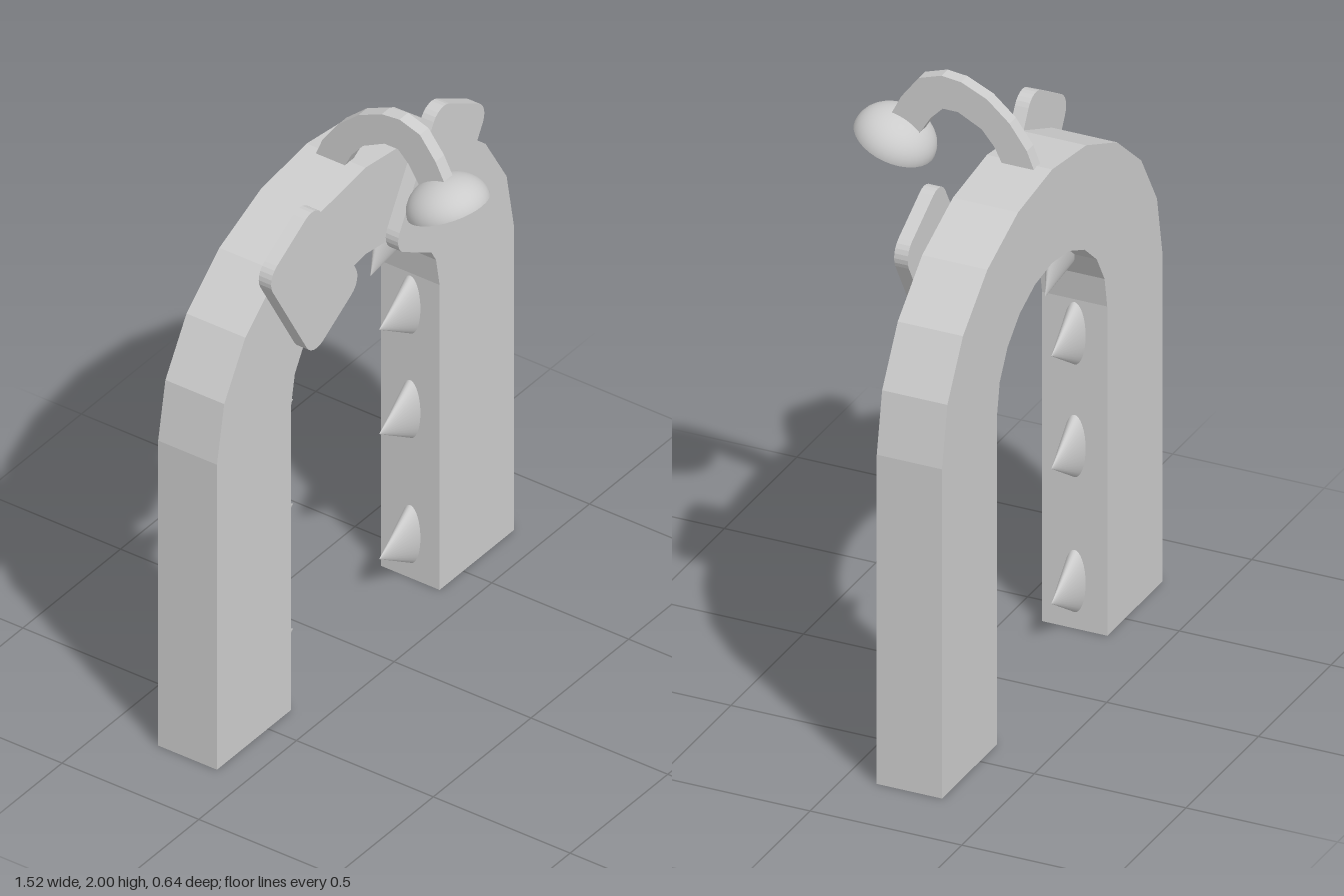
import * as THREE from 'three';

const material = new THREE.MeshStandardMaterial({ color: 0xcccccc });
const openMaterial = new THREE.MeshStandardMaterial({ color: 0xcccccc, side: THREE.DoubleSide });

function add(parent, name, geometry, mat = material) {
  const mesh = new THREE.Mesh(geometry, mat);
  mesh.name = name;
  parent.add(mesh);
  return mesh;
}

const extrude = (shape, depth) =>
  new THREE.ExtrudeGeometry(shape, { depth, bevelEnabled: false, curveSegments: 3 });

// Half ellipse from +x to -x in straight steps
function halfEllipse(rx, ry, y0, steps) {
  return Array.from({ length: steps + 1 }, (_, i) => {
    const a = (i / steps) * Math.PI;
    return new THREE.Vector2(rx * Math.cos(a), y0 + ry * Math.sin(a));
  });
}

function roundedRect(hw, hh, r) {
  const s = new THREE.Shape();
  s.absarc(hw - r, hh - r, r, 0, Math.PI / 2);
  s.absarc(r - hw, hh - r, r, Math.PI / 2, Math.PI);
  s.absarc(r - hw, r - hh, r, Math.PI, Math.PI * 1.5);
  s.absarc(hw - r, r - hh, r, Math.PI * 1.5, Math.PI * 2);
  return s;
}

export function createModel() {
  const model = new THREE.Group();
  model.name = 'toothedArch';

  // Arch: straight legs under a faceted half ellipse
  const archShape = new THREE.Shape([
    new THREE.Vector2(0.76, 0),
    ...halfEllipse(0.76, 0.645, 1.11, 10),
    new THREE.Vector2(-0.76, 0),
    new THREE.Vector2(-0.38, 0),
    ...halfEllipse(0.38, 0.33, 1.11, 10).reverse(),
    new THREE.Vector2(0.38, 0),
  ]);
  add(model, 'arch', extrude(archShape, 0.215)).position.z = -0.32;

  // Teeth: flattened cones, base centre and tilt of the tip
  const toothGeometry = new THREE.ConeGeometry(0.105, 0.16, 32).translate(0, 0.08, 0);
  const teeth = [
    [0.38, 0.16, 90],
    [0.38, 0.615, 90],
    [0.38, 0.995, 90],
    [0.288, 1.328, 135],
  ];
  const plateGeometry = extrude(roundedRect(0.145, 0.235, 0.06), 0.045);

  for (const [side, label] of [[1, 'left'], [-1, 'right']]) {
    teeth.forEach(([x, y, tilt], i) => {
      const tooth = add(model, `${label}Tooth${i + 1}`, toothGeometry);
      tooth.position.set(side * x, y, -0.212);
      tooth.rotation.z = side * THREE.MathUtils.degToRad(tilt);
      tooth.scale.z = 0.35;
    });

    // Brow plate leaning outward on the front face
    const plate = add(model, `${label}BrowPlate`, plateGeometry);
    plate.position.set(side * 0.325, 1.55, -0.105);
    plate.rotation.z = -side * Math.PI / 6;
  }

  // Lamp stalk: flat curved band, profile in (z, y)
  const stalkShape = new THREE.Shape([
    [-0.275, 1.74], [-0.247, 1.81], [-0.19, 1.89], [-0.115, 1.955], [-0.03, 1.993],
    [0.035, 2.0], [0.11, 1.975], [0.167, 1.9], [0.205, 1.825],
    [0.11, 1.785], [0.07, 1.85], [0.03, 1.89], [-0.02, 1.89],
    [-0.098, 1.85], [-0.14, 1.8], [-0.17, 1.74],
  ].map(([z, y]) => new THREE.Vector2(z, y)));
  const stalk = add(model, 'lampStalk', extrude(stalkShape, 0.044).translate(0, 0, -0.022));
  stalk.rotation.y = -Math.PI / 2;

  // Lamp shade: open, squashed half sphere tipped toward the front
  const shadeGeometry = new THREE.SphereGeometry(0.13, 32, 12, 0, Math.PI * 2, 0, Math.PI / 2);
  const shade = add(model, 'lampShade', shadeGeometry, openMaterial);
  shade.scale.y = 0.75;
  shade.position.set(0, 1.74, 0.199);
  shade.rotation.x = -0.375;

  return model;
}
